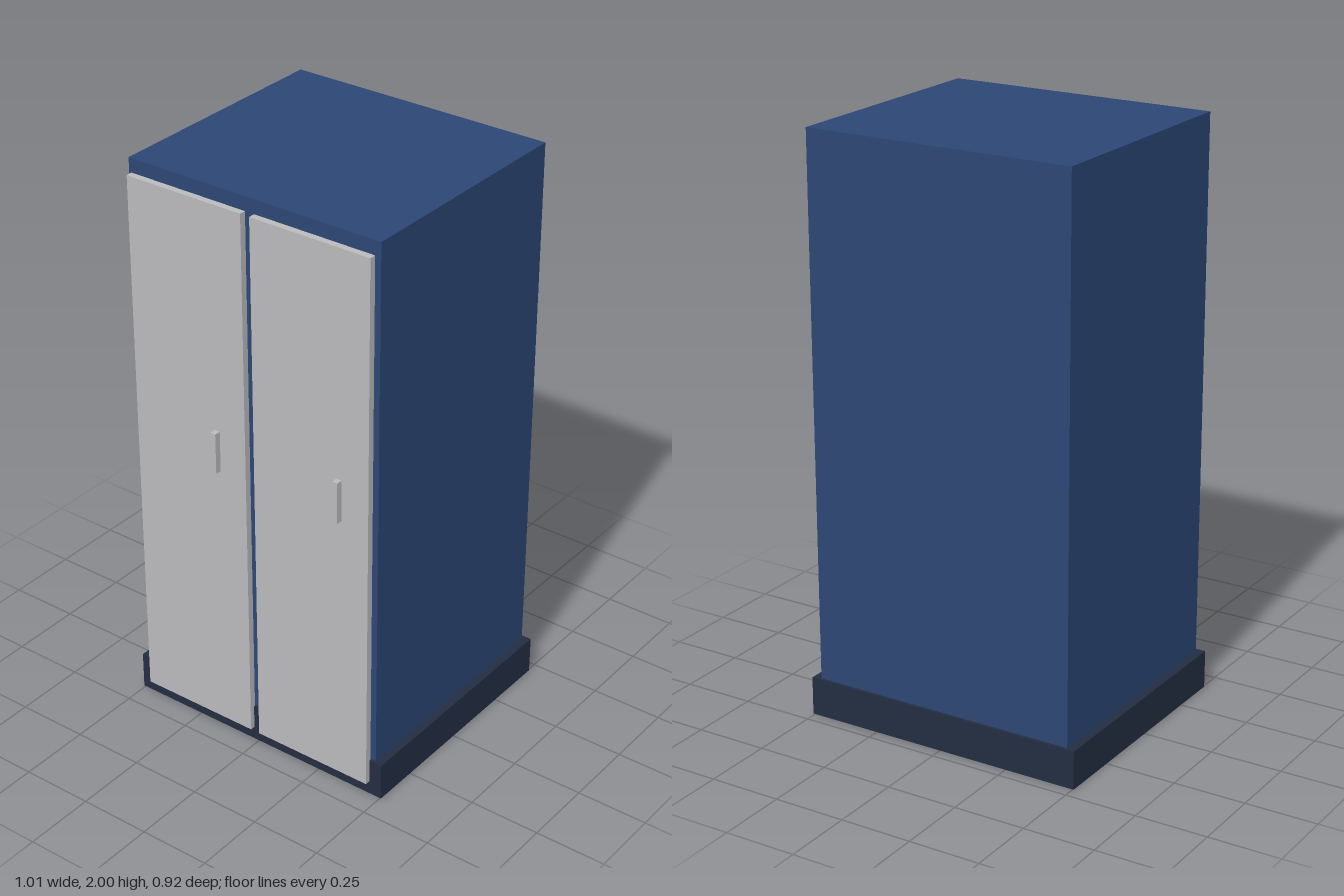
import * as THREE from 'three';

const material = (name, color) => {
  const m = new THREE.MeshStandardMaterial({ color });
  m.name = name;
  return m;
};

export function createModel() {
  const blue = material('blue cabinet paint', 0x2c4674);
  const navy = material('dark plinth paint', 0x232d42);
  const grey = material('light grey door', 0xb9babc);
  const group = new THREE.Group();
  group.name = 'cabinet';

  // Box given by its lower and upper limits on each axis
  const box = (name, mat, [x0, x1], [y0, y1], [z0, z1], parent = group) => {
    const mesh = new THREE.Mesh(new THREE.BoxGeometry(x1 - x0, y1 - y0, z1 - z0), mat);
    mesh.position.set((x0 + x1) / 2, (y0 + y1) / 2, (z0 + z1) / 2);
    mesh.name = name;
    parent.add(mesh);
  };

  // Carcass, its floor showing inside the plinth surround
  box('body', blue, [-0.475, 0.475], [0, 2], [-0.45, 0.403]);
  box('plinth', navy, [-0.505, 0.505], [0.002, 0.135], [-0.46, 0.414]);

  // Two equal doors, each with a bar handle standing just off its face
  for (const [name, x] of [['rightDoor', -0.239], ['leftDoor', 0.237]]) {
    const door = new THREE.Group();
    door.name = name;
    door.position.x = x;
    box('doorPanel', grey, [-0.221, 0.221], [0.05, 1.955], [0.409, 0.432], door);
    box('handle', grey, [0.104, 0.124], [1.03, 1.175], [0.437, 0.459], door);
    group.add(door);
  }
  return group;
}
